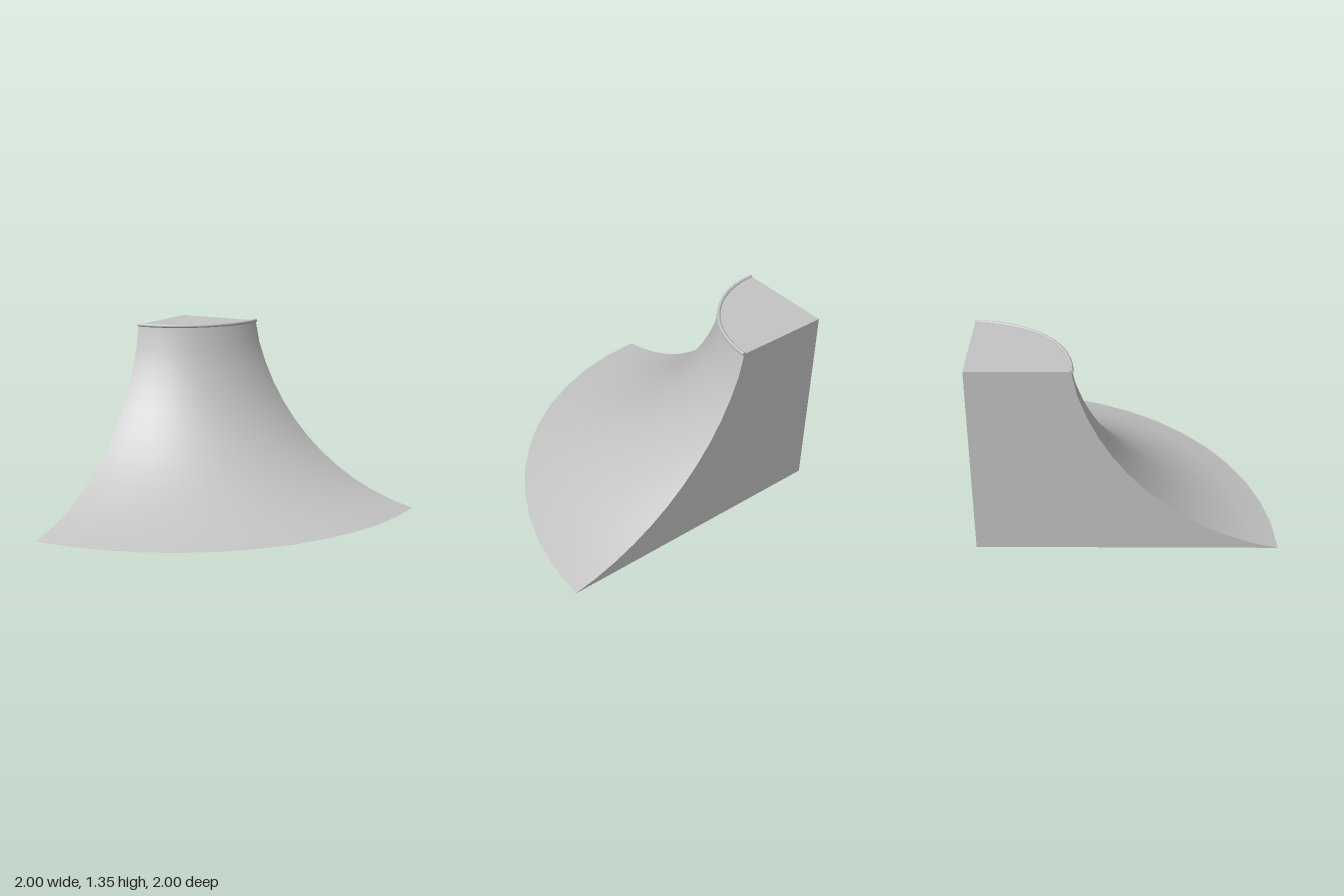
import * as THREE from 'three';

const SEGMENTS = 12;
const DECK_RADIUS = 0.66;
const DECK_HEIGHT = 1.337;
const BASE_RADIUS = 2;

// Concave arc (radius, height) from the foot of the ramp up to the deck edge
function rampProfile() {
  const cx = 2.315, cy = 1.665, r = 1.695;
  const start = Math.atan2(-cy, BASE_RADIUS - cx);
  const end = Math.atan2(DECK_HEIGHT - cy, DECK_RADIUS - cx) - 2 * Math.PI * (DECK_HEIGHT > cy ? 1 : 0);
  const points = [];
  for (let i = 0; i <= SEGMENTS; i++) {
    const a = start + (end - start) * (i / SEGMENTS);
    points.push(new THREE.Vector2(cx + r * Math.cos(a), cy + r * Math.sin(a)));
  }
  points[0].set(BASE_RADIUS, 0);
  points[SEGMENTS].set(DECK_RADIUS, DECK_HEIGHT);
  return points;
}

export function createModel() {
  const model = new THREE.Group();
  model.name = 'quarterRoundRamp';
  const concrete = new THREE.MeshStandardMaterial({ color: 0xc4c4c4 });
  concrete.name = 'light grey';

  // Everything turns around the vertical back corner edge
  const ramp = new THREE.Group();
  ramp.name = 'ramp';
  ramp.position.set(-1, 0, -1);
  model.add(ramp);

  const add = (name, geometry) => {
    const mesh = new THREE.Mesh(geometry, concrete);
    mesh.name = name;
    ramp.add(mesh);
    return mesh;
  };

  // Curved riding surface
  const profile = rampProfile();
  add('ridingSurface', new THREE.LatheGeometry(profile, SEGMENTS, 0, Math.PI / 2));

  // Flat walls on the two cut sides
  const wall = (sign) => new THREE.ShapeGeometry(new THREE.Shape([
    new THREE.Vector2(0, 0),
    ...profile.map((p) => new THREE.Vector2(p.x * sign, p.y)),
    new THREE.Vector2(0, DECK_HEIGHT),
  ]));
  add('backWall', wall(-1).rotateY(Math.PI));
  add('sideWall', wall(1).rotateY(-Math.PI / 2));

  // Deck and underside are quarter discs
  add('deck', new THREE.CircleGeometry(DECK_RADIUS, SEGMENTS, -Math.PI / 2, Math.PI / 2)
    .rotateX(-Math.PI / 2).translate(0, DECK_HEIGHT, 0));
  add('underside', new THREE.CircleGeometry(BASE_RADIUS, SEGMENTS, 0, Math.PI / 2)
    .rotateX(Math.PI / 2));

  // Thin pipe along the deck edge, with closed ends
  const pipe = 0.0125, pipeRadius = 0.6625;
  add('coping', new THREE.TorusGeometry(pipeRadius, pipe, 10, SEGMENTS, Math.PI / 2)
    .rotateX(Math.PI / 2).translate(0, DECK_HEIGHT, 0));
  add('copingBackEnd', new THREE.CircleGeometry(pipe, 10)
    .rotateY(Math.PI).translate(pipeRadius, DECK_HEIGHT, 0));
  add('copingSideEnd', new THREE.CircleGeometry(pipe, 10)
    .rotateY(-Math.PI / 2).translate(0, DECK_HEIGHT, pipeRadius));

  return model;
}
